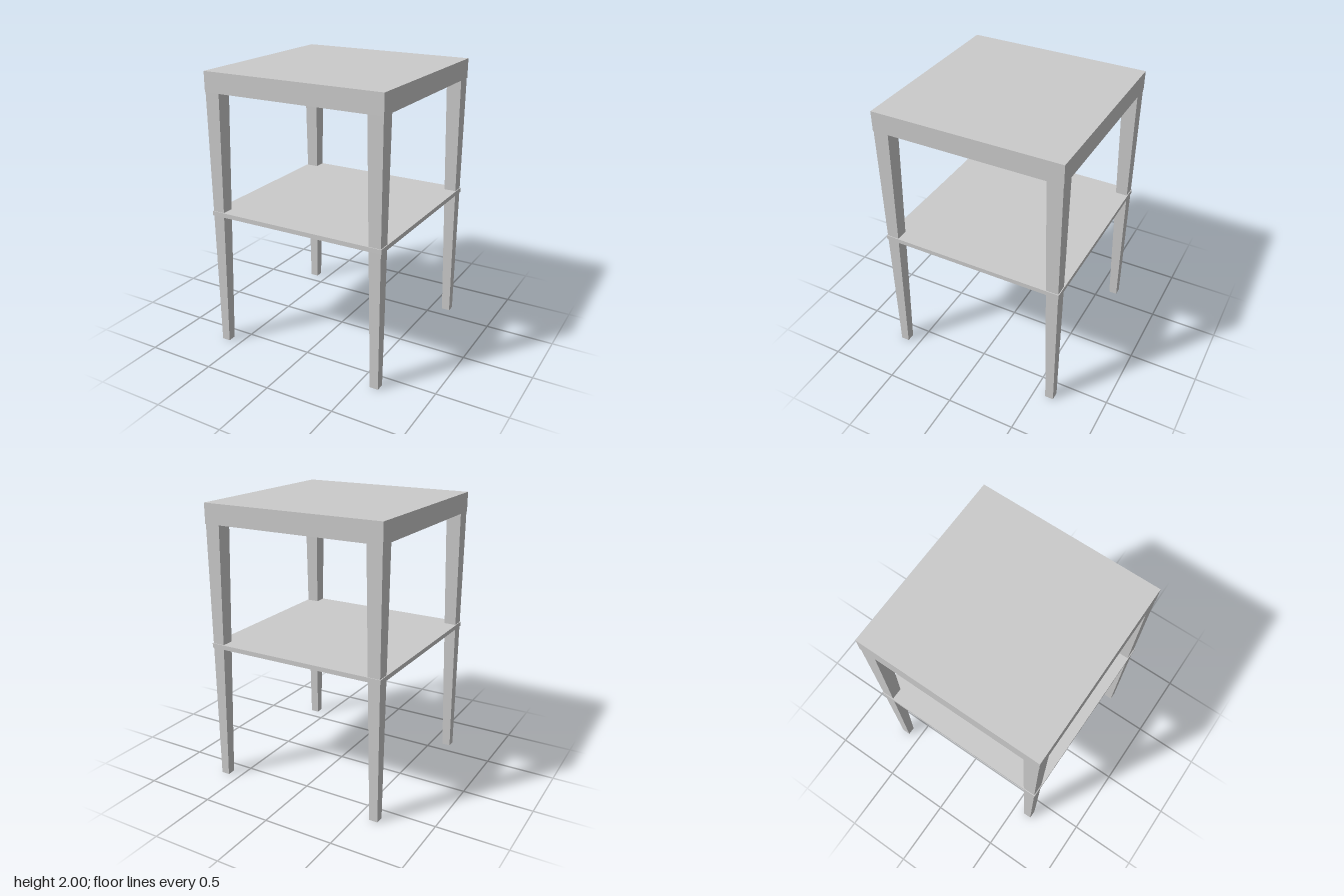
import * as THREE from 'three';

const HALF = 0.659;      // half width of top and shelf
const TOP_Y = 1.86;      // underside of the top
const LEG_TOP = [0.548, 0.656];    // inner and outer faces at the top
const LEG_FOOT = [0.589, 0.65];    // inner and outer faces at the floor

// Square leg tapering towards the floor, for the corner given by signs sx, sz
function legGeometry(sx, sz) {
  const geometry = new THREE.BoxGeometry(1, TOP_Y, 1);
  geometry.translate(0, TOP_Y / 2, 0);
  const p = geometry.attributes.position;
  for (let i = 0; i < p.count; i++) {
    const [inner, outer] = p.getY(i) > TOP_Y / 2 ? LEG_TOP : LEG_FOOT;
    const place = (v, s) => s * (v * s > 0 ? outer : inner);
    p.setX(i, place(p.getX(i), sx));
    p.setZ(i, place(p.getZ(i), sz));
  }
  geometry.computeVertexNormals();
  return geometry;
}

export function createModel() {
  const group = new THREE.Group();
  group.name = 'sideTable';
  const material = new THREE.MeshStandardMaterial({ color: 0xcccccc, flatShading: true });

  const add = (name, geometry) => {
    const mesh = new THREE.Mesh(geometry, material);
    mesh.name = name;
    group.add(mesh);
    return mesh;
  };

  // Square slab between two heights
  const slab = (name, y0, y1) => {
    add(name, new THREE.BoxGeometry(HALF * 2, y1 - y0, HALF * 2)).position.y = (y0 + y1) / 2;
  };

  slab('tableTop', TOP_Y, 2);
  slab('shelf', 0.99, 1.022);

  // Four legs, running through the shelf corners
  for (const [side, sx] of [['Left', 1], ['Right', -1]]) {
    for (const [end, sz] of [['front', 1], ['back', -1]]) {
      add(`${end}${side}Leg`, legGeometry(sx, sz));
    }
  }

  return group;
}
